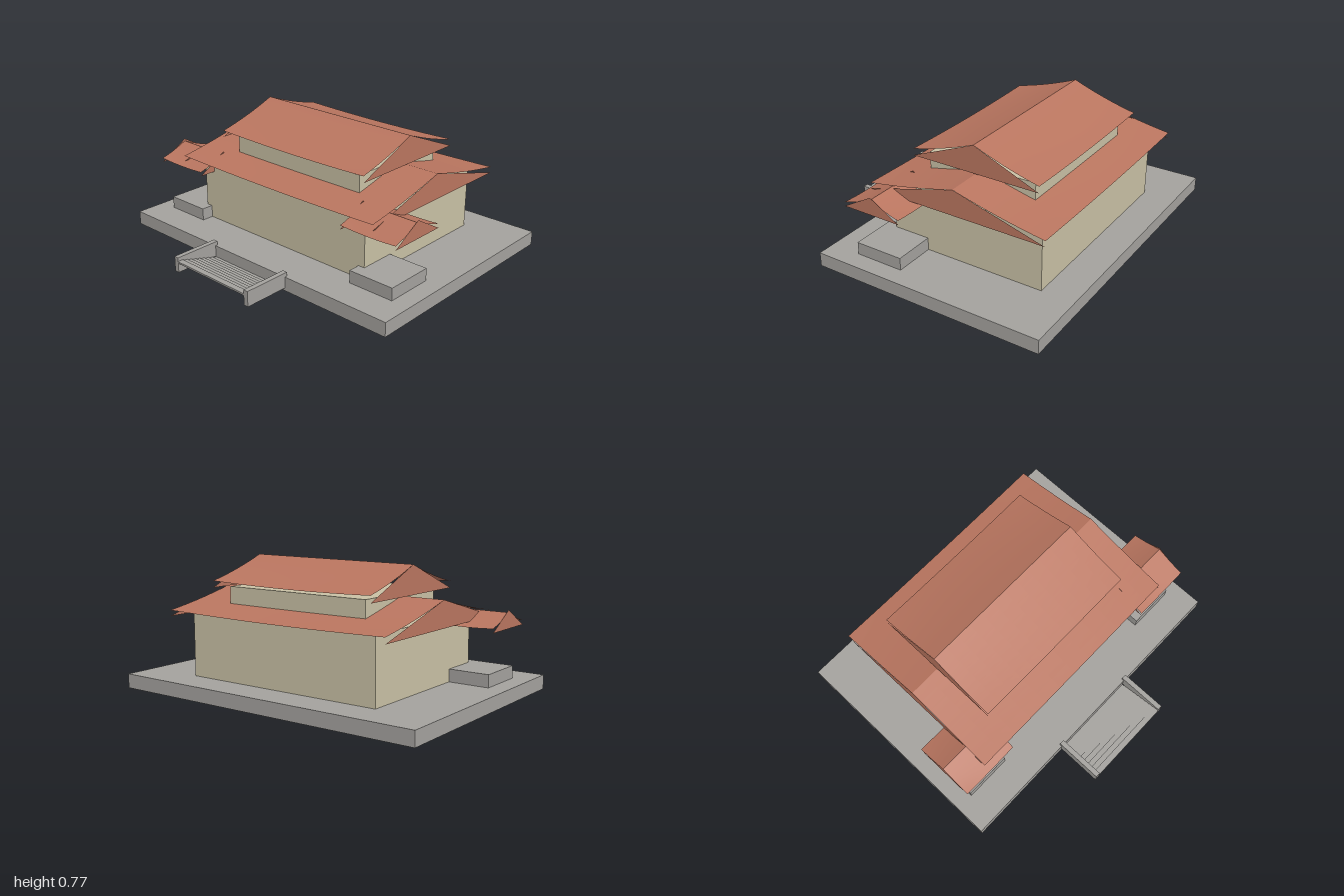
import * as THREE from 'three';

const stone = new THREE.MeshStandardMaterial({ name: 'stone', color: 0xa3a19d });
const plaster = new THREE.MeshStandardMaterial({ name: 'plaster', color: 0xc8c0a4 });
const tile = new THREE.MeshStandardMaterial({ name: 'roofTile', color: 0xb9755f, side: THREE.DoubleSide });

// Box given by its lower and upper limits on each axis
function box(name, material, [x0, x1], [y0, y1], [z0, z1]) {
  const mesh = new THREE.Mesh(new THREE.BoxGeometry(x1 - x0, y1 - y0, z1 - z0), material);
  mesh.name = name;
  mesh.position.set((x0 + x1) / 2, (y0 + y1) / 2, (z0 + z1) / 2);
  return mesh;
}

// Sagging roof sheet from ridge to eave, with the eave corners swept up
function slope(side, { half, run, ridge, eave, lift }) {
  const geo = new THREE.PlaneGeometry(1, 1, 12, 8);
  const pos = geo.attributes.position;
  for (let i = 0; i < pos.count; i++) {
    const u = pos.getX(i) * 2;
    const t = 0.5 - pos.getY(i);
    const drop = (ridge - eave) * (t + 0.2 * t * (1 - t));
    pos.setXYZ(i, side * u * half, ridge - drop + lift * u * u * t * t, side * t * run);
  }
  geo.computeVertexNormals();
  const mesh = new THREE.Mesh(geo, tile);
  mesh.name = side > 0 ? 'frontSlope' : 'backSlope';
  return mesh;
}

// Two slopes with a flat triangular gable at each end
function gableRoof(name, x, z, o) {
  const roof = new THREE.Group();
  roof.name = name;
  roof.position.set(x, 0, z);
  const triangle = new THREE.Shape([
    new THREE.Vector2(-o.run, o.base),
    new THREE.Vector2(o.run, o.base),
    new THREE.Vector2(0, o.apex),
  ]);
  for (const side of [-1, 1]) {
    roof.add(slope(side, o));
    const gable = new THREE.Mesh(new THREE.ShapeGeometry(triangle), tile);
    gable.name = 'gable';
    gable.rotation.y = side * Math.PI / 2;
    gable.position.x = side * o.half;
    roof.add(gable);
  }
  return roof;
}

export function createModel() {
  const model = new THREE.Group();
  model.name = 'hall';

  // Terrace and the two storeys
  model.add(
    box('terrace', stone, [-1, 1], [0, 0.085], [-0.86, 0.57]),
    box('lowerHall', plaster, [-0.64, 0.64], [0.085, 0.463], [-0.66, 0.305]),
    box('upperHall', plaster, [-0.48, 0.48], [0.463, 0.612], [-0.52, 0.165]),
  );

  // Main roofs
  model.add(
    gableRoof('lowerRoof', 0, -0.18,
      { half: 0.75, run: 0.56, ridge: 0.595, eave: 0.465, lift: 0.01, base: 0.44, apex: 0.595 }),
    gableRoof('upperRoof', 0, -0.18,
      { half: 0.555, run: 0.405, ridge: 0.772, eave: 0.635, lift: 0.01, base: 0.605, apex: 0.772 }),
  );

  // Side wings and stair cheeks, mirrored
  for (const s of [-1, 1]) {
    const span = (a, b) => (s > 0 ? [a, b] : [-b, -a]);
    model.add(
      box('wingBase', stone, span(0.6, 0.89), [0.085, 0.16], [0.08, 0.38]),
      gableRoof('wingRoof', s * 0.743, 0.23,
        { half: 0.184, run: 0.185, ridge: 0.492, eave: 0.418, lift: 0.007, base: 0.4, apex: 0.507 }),
      box('stairCheek', stone, span(0.27, 0.3), [0.018, 0.11], [0.555, 0.85]),
    );
  }

  // Treads rising outward between the cheeks
  for (let i = 0; i < 9; i++) {
    const y = 0.003 + i * 0.0092;
    const z = 0.568 + i * 0.031;
    model.add(box('stairTread', stone, [-0.27, 0.27], [y, y + 0.011], [z, z + 0.036]));
  }

  return model;
}
